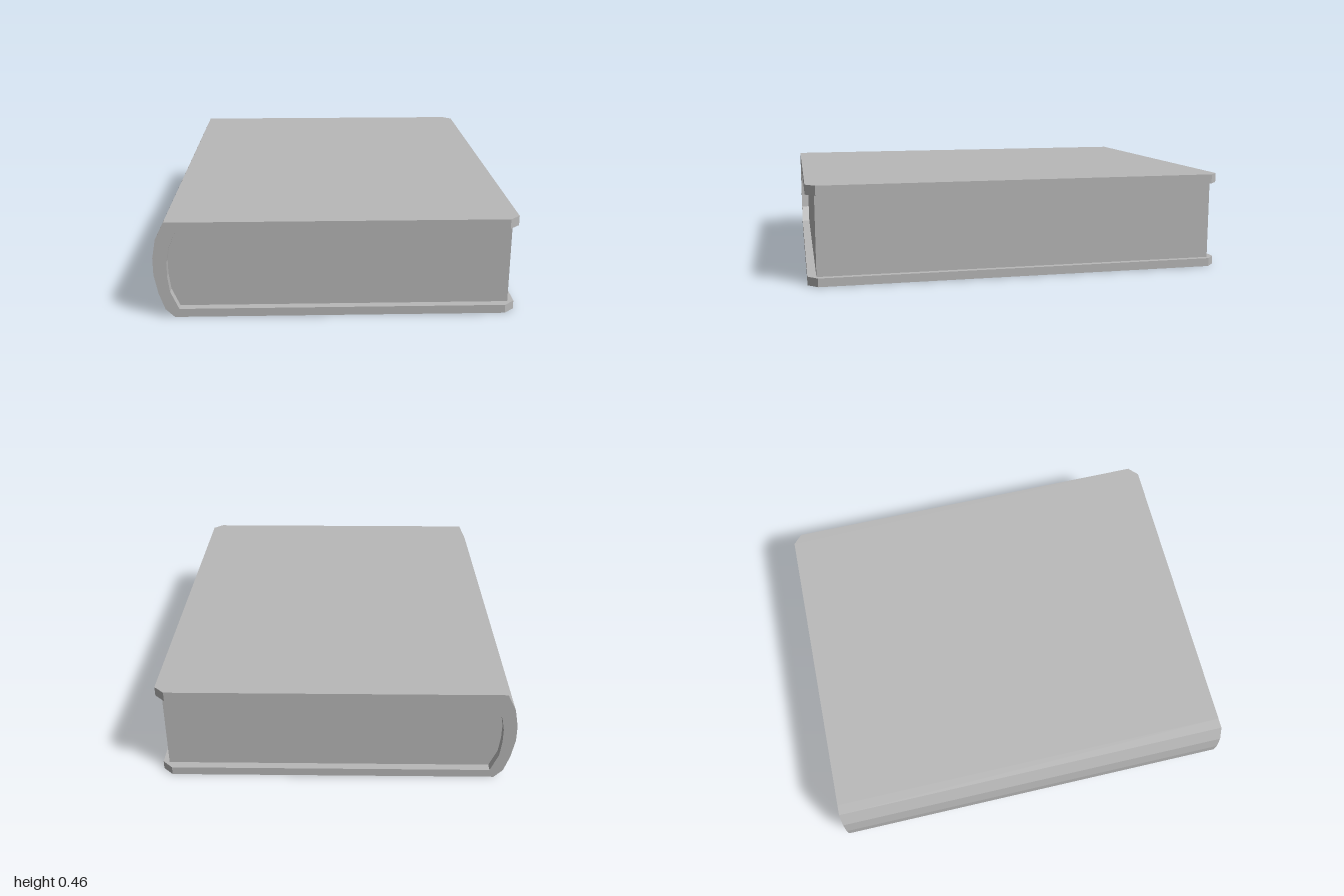
import * as THREE from 'three';

// Curved spine outlines (x, y), listed from top to bottom
const OUTER = [[-0.77, 0.46], [-0.81, 0.38], [-0.827, 0.29], [-0.827, 0.21], [-0.81, 0.12], [-0.783, 0.04], [-0.742, 0]];
const INNER = [[-0.72, 0.415], [-0.755, 0.33], [-0.766, 0.27], [-0.766, 0.2], [-0.757, 0.125], [-0.72, 0.04]];

// Extrude a polygon, centred along its depth
function prism(points, depth) {
  const shape = new THREE.Shape(points.map(([x, y]) => new THREE.Vector2(x, y)));
  return new THREE.ExtrudeGeometry(shape, { depth, bevelEnabled: false }).translate(0, 0, -depth / 2);
}

export function createModel() {
  const book = new THREE.Group();
  book.name = 'closedBook';
  const grey = new THREE.MeshStandardMaterial({ color: 0xb8b8b8 });
  grey.name = 'grey';

  const add = (name, geometry) => {
    const mesh = new THREE.Mesh(geometry, grey);
    mesh.name = name;
    book.add(mesh);
    return mesh;
  };

  // Rounded spine, meeting both boards at x = -0.72
  add('spine', prism([[-0.72, 0.46], ...OUTER, [-0.72, 0], ...[...INNER].reverse()], 2));

  // Cover boards with clipped fore-edge corners
  const plan = [[-0.72, -1], [0.777, -1], [0.825, -0.955], [0.825, 0.955], [0.777, 1], [-0.72, 1]];
  for (const [name, bottom, top] of [['topCover', 0.415, 0.46], ['bottomCover', 0, 0.04]]) {
    const board = prism(plan, top - bottom).rotateX(-Math.PI / 2);
    add(name, board).position.y = (bottom + top) / 2;
  }

  // Page block, recessed inside the cover
  add('pages', prism([...INNER, [0.795, 0.04], [0.795, 0.415]], 1.92));

  return book;
}
